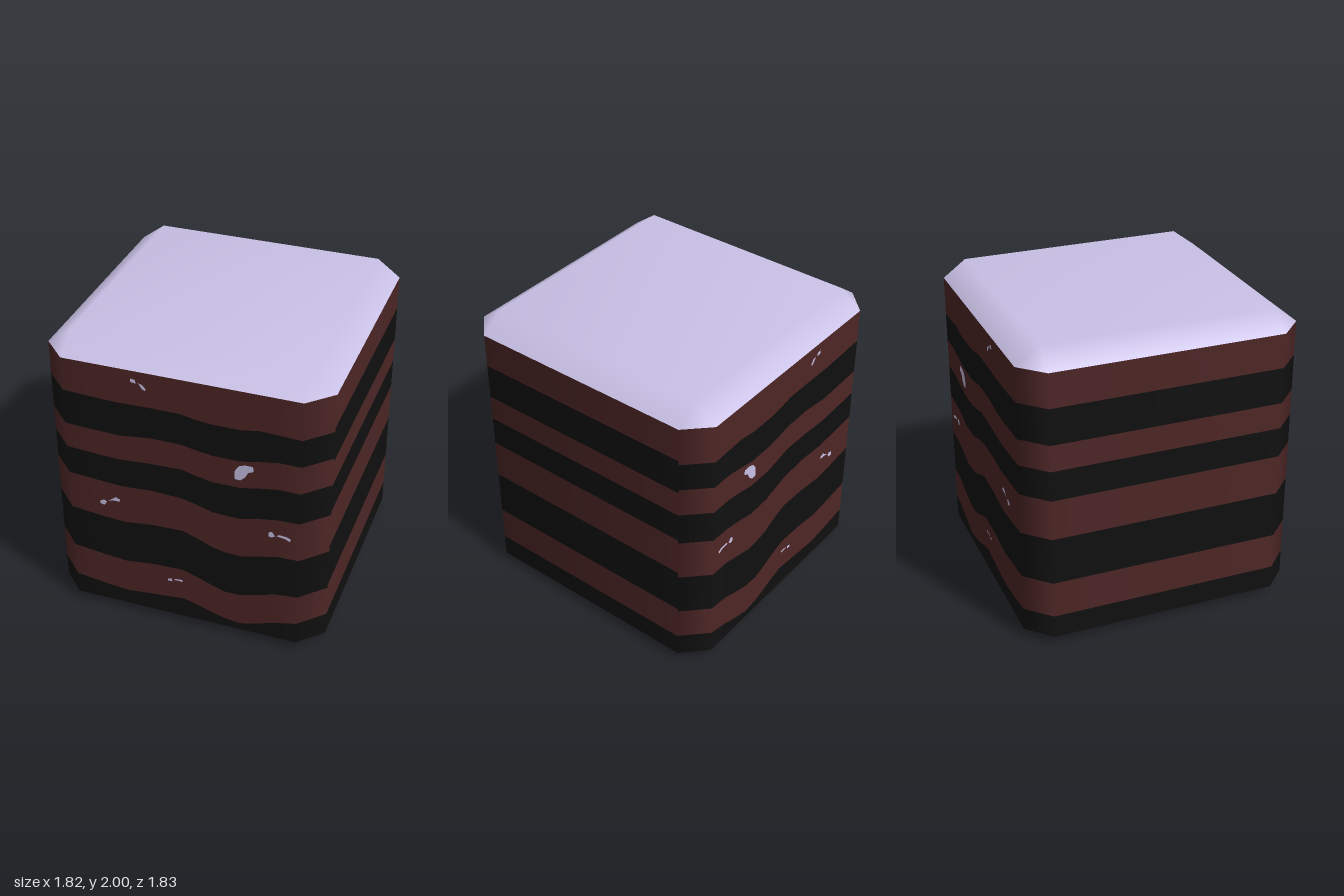
import * as THREE from 'three';

const R = 0.912, C = 0.76; // half width and where the corner chamfers begin

// Column positions across the face and the wavy lines between layers, top to bottom
const COLS = [-0.76, -0.55, -0.4, -0.2, 0, 0.1, 0.2, 0.28, 0.38, 0.5, 0.62, 0.76];
const LINES = [
  [1.66, 1.65, 1.645, 1.65, 1.65, 1.63, 1.62, 1.62, 1.62, 1.64, 1.635, 1.63],
  [1.42, 1.41, 1.405, 1.43, 1.43, 1.41, 1.395, 1.395, 1.395, 1.42, 1.44, 1.44],
  [1.245, 1.23, 1.225, 1.24, 1.245, 1.22, 1.2, 1.2, 1.2, 1.225, 1.245, 1.245],
  [1.045, 1.03, 1.02, 1.035, 1.025, 1.0, 0.97, 0.965, 0.965, 0.995, 1.015, 1.02],
  [0.775, 0.75, 0.74, 0.765, 0.77, 0.735, 0.69, 0.675, 0.67, 0.7, 0.73, 0.735],
  [0.46, 0.435, 0.42, 0.445, 0.45, 0.415, 0.375, 0.35, 0.35, 0.385, 0.425, 0.44],
  [0.215, 0.185, 0.17, 0.19, 0.21, 0.18, 0.145, 0.125, 0.11, 0.145, 0.185, 0.22],
];
const flat = (y) => COLS.map(() => y);

// Outline of the block seen from above; each point knows which column gives its height
const last = COLS.length - 1;
const front = [[-R, C, 0], ...COLS.map((x, i) => [x, R, i]), [R, C, last]];
const back = front.map(([x, z, i]) => [x, -z, i]).reverse();
const OUTLINE = [...front, [R, C, 0], [R, -C, 0], ...back];

// Wall strip between two lines, smooth around the vertical corners
function bandGeometry(top, bottom) {
  const pos = [], nor = [], index = [];
  OUTLINE.forEach(([x, z, i]) => {
    let nx = 0, nz = 0;
    if (Math.abs(z) === R) {
      nz = Math.sign(z);
      if (Math.abs(x) === C) nx = 0.15 * Math.sign(x);
    } else {
      nx = Math.sign(x);
      nz = 0.15 * Math.sign(z);
    }
    const n = new THREE.Vector3(nx, 0, nz).normalize();
    pos.push(x, bottom[i], z, x, top[i], z);
    nor.push(n.x, 0, n.z, n.x, 0, n.z);
  });
  for (let k = 0; k < OUTLINE.length; k++) {
    const a = 2 * k, b = 2 * ((k + 1) % OUTLINE.length);
    index.push(a, b, b + 1, a, b + 1, a + 1);
  }
  const g = new THREE.BufferGeometry();
  g.setAttribute('position', new THREE.Float32BufferAttribute(pos, 3));
  g.setAttribute('normal', new THREE.Float32BufferAttribute(nor, 3));
  g.setIndex(index);
  return g;
}

// Bevelled end: octagonal rim at yRim closing to a square at yEnd
function endGeometry(yRim, yEnd) {
  const rim = [[-C, R], [C, R], [R, C], [R, -C], [C, -R], [-C, -R], [-R, -C], [-R, C]];
  const square = [[-C, C], [C, C], [C, -C], [-C, -C]];
  const pos = [];
  rim.forEach(([x, z]) => pos.push(x, yRim, z));
  square.forEach(([x, z]) => pos.push(x, yEnd, z));
  const index = [8, 9, 10, 8, 10, 11];
  for (let s = 0; s < 4; s++) {
    const a = 2 * s, b = a + 1, c = (a + 2) % 8, p = 8 + s, q = 8 + (s + 1) % 4;
    index.push(a, b, q, a, q, p, b, c, q);
  }
  if (yEnd < yRim) index.reverse(); // flip to face downwards
  const g = new THREE.BufferGeometry();
  g.setAttribute('position', new THREE.Float32BufferAttribute(pos, 3));
  g.setIndex(index);
  g.computeVertexNormals();
  return g;
}

// Outlines of the pale flecks
const FLECKS = [
  [[0.345, 1.26], [0.345, 1.32], [0.37, 1.36], [0.41, 1.375], [0.46, 1.375], [0.465, 1.34], [0.43, 1.325], [0.41, 1.285], [0.38, 1.258]],
  [[-0.31, 1.81], [-0.31, 1.835], [-0.28, 1.83], [-0.275, 1.805]],
  [[-0.262, 1.812], [-0.235, 1.805], [-0.213, 1.78], [-0.22, 1.763], [-0.24, 1.78]],
  [[-0.56, 0.85], [-0.555, 0.875], [-0.53, 0.885], [-0.51, 0.875], [-0.53, 0.845]],
  [[-0.505, 0.885], [-0.48, 0.9], [-0.45, 0.925], [-0.42, 0.912], [-0.42, 0.895], [-0.47, 0.893]],
  [[0.565, 0.88], [0.565, 0.91], [0.585, 0.92], [0.605, 0.89], [0.585, 0.875]],
  [[0.615, 0.893], [0.63, 0.907], [0.68, 0.903], [0.708, 0.89], [0.7, 0.87], [0.67, 0.885]],
  [[-0.11, 0.335], [-0.11, 0.35], [-0.085, 0.36], [-0.08, 0.335]],
  [[-0.07, 0.35], [-0.06, 0.362], [-0.01, 0.366], [-0.01, 0.347], [-0.035, 0.352]],
];

export function createModel() {
  const lilac = new THREE.MeshStandardMaterial({ color: 0xc9c1e6, side: THREE.DoubleSide });
  lilac.name = 'pale lilac';
  const brown = new THREE.MeshStandardMaterial({ color: 0x4e2626 });
  brown.name = 'dark red brown';
  const black = new THREE.MeshStandardMaterial({ color: 0x101010 });
  black.name = 'near black';

  const model = new THREE.Group();
  model.name = 'layeredBlock';
  const add = (name, geometry, material) => {
    const mesh = new THREE.Mesh(geometry, material);
    mesh.name = name;
    model.add(mesh);
    return mesh;
  };

  // Alternating layers
  const lines = [flat(1.888), ...LINES, flat(0.06)];
  for (let i = 0; i < lines.length - 1; i++) {
    add(`layer${i + 1}`, bandGeometry(lines[i], lines[i + 1]), i % 2 ? black : brown);
  }

  // Icing on top and bevelled base
  add('topIcing', endGeometry(1.888, 2), lilac);
  add('base', endGeometry(0.06, 0), black);

  // Flecks, mirrored on front and back
  const shapes = FLECKS.map((pts) => new THREE.Shape(pts.map(([x, y]) => new THREE.Vector2(x, y))));
  for (const [name, side] of [['frontFlecks', 1], ['backFlecks', -1]]) {
    add(name, new THREE.ShapeGeometry(shapes), lilac).position.z = side * (R + 0.002);
  }
  return model;
}
